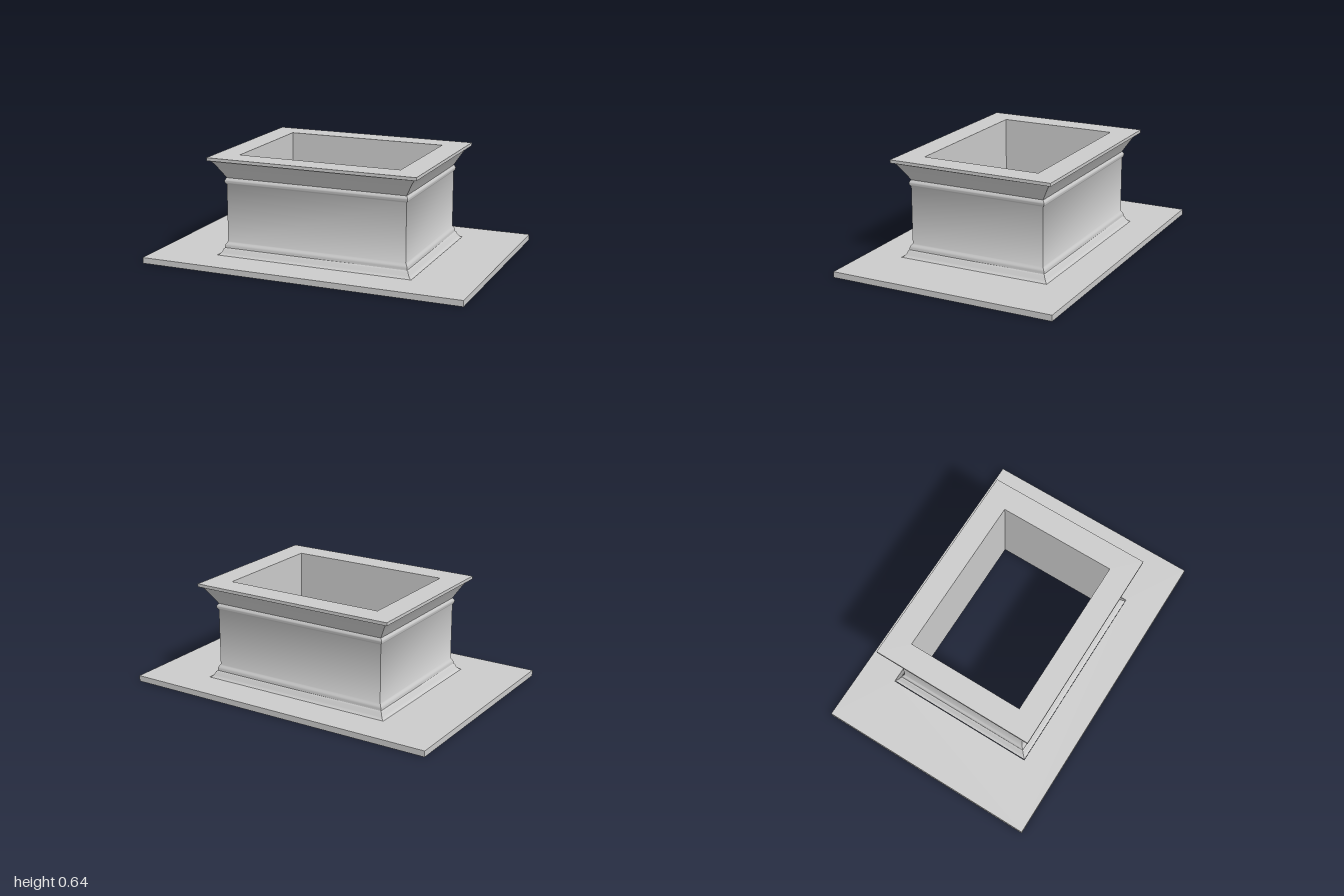
import * as THREE from 'three';
import { toCreasedNormals } from 'three/addons/utils/BufferGeometryUtils.js';

const material = new THREE.MeshStandardMaterial({ color: 0xcccccc });

const rectangle = (PathType, hx, hy, cx = 0, cy = 0) => new PathType([
  [-hx, -hy], [hx, -hy], [hx, hy], [-hx, hy],
].map(([x, y]) => new THREE.Vector2(x + cx, y + cy)));

// Sweep a closed profile of [outward offset, height] around a mitred rectangle.
function sweepRectangle(hx, hz, profile) {
  const corners = [[1, 1], [1, -1], [-1, -1], [-1, 1]];
  const point = ([sx, sz], [d, y]) => [sx * (hx + d), y, sz * (hz + d)];
  const positions = [];
  corners.forEach((a, i) => {
    const b = corners[(i + 1) % 4];
    profile.forEach((p, j) => {
      const q = profile[(j + 1) % profile.length];
      const [a0, b0, b1, a1] = [point(a, p), point(b, p), point(b, q), point(a, q)];
      positions.push(...a0, ...b0, ...b1, ...a0, ...b1, ...a1);
    });
  });
  const geometry = new THREE.BufferGeometry();
  geometry.setAttribute('position', new THREE.Float32BufferAttribute(positions, 3));
  return toCreasedNormals(geometry, 0.7);
}

export function createModel() {
  const group = new THREE.Group();
  group.name = 'mouldedFrame';
  const centreX = 0.003, centreZ = -0.002;

  // Flat base plate with a window matching the foot of the moulding
  const outline = rectangle(THREE.Shape, 1, 0.695);
  outline.holes.push(rectangle(THREE.Path, 0.619, 0.477, centreX, -centreZ));
  const plateGeometry = new THREE.ExtrudeGeometry(outline, { depth: 0.036, bevelEnabled: false });
  plateGeometry.rotateX(-Math.PI / 2);
  const plate = new THREE.Mesh(plateGeometry, material);
  plate.name = 'basePlate';
  group.add(plate);

  // Rounded bead bulging from the wall between two heights
  const bead = (y0, y1, bulge, d0 = 0, d1 = 0) => Array.from({ length: 7 }, (_, i) => {
    const t = i / 6;
    return [d0 + (d1 - d0) * t + bulge * Math.sin(Math.PI * t), y0 + (y1 - y0) * t];
  });

  const profile = [
    // Foot cove and lower bead
    [0.048, 0.033], [0.039, 0.041], [0.031, 0.05], [0.025, 0.06], [0.021, 0.072],
    ...bead(0.077, 0.115, 0.005, 0.014, 0),
    // Upper bead under the flare
    ...bead(0.467, 0.508, 0.01),
    // Flared cornice
    [0.016, 0.536], [0.033, 0.565], [0.051, 0.594], [0.068, 0.618],
    // Flat lip, top face and inner wall
    [0.086, 0.62], [0.086, 0.639], [-0.06, 0.639], [-0.06, 0.033],
  ];
  const tube = new THREE.Mesh(sweepRectangle(0.568, 0.428, profile), material);
  tube.name = 'mouldedTube';
  tube.position.set(centreX, 0, centreZ);
  group.add(tube);

  return group;
}
